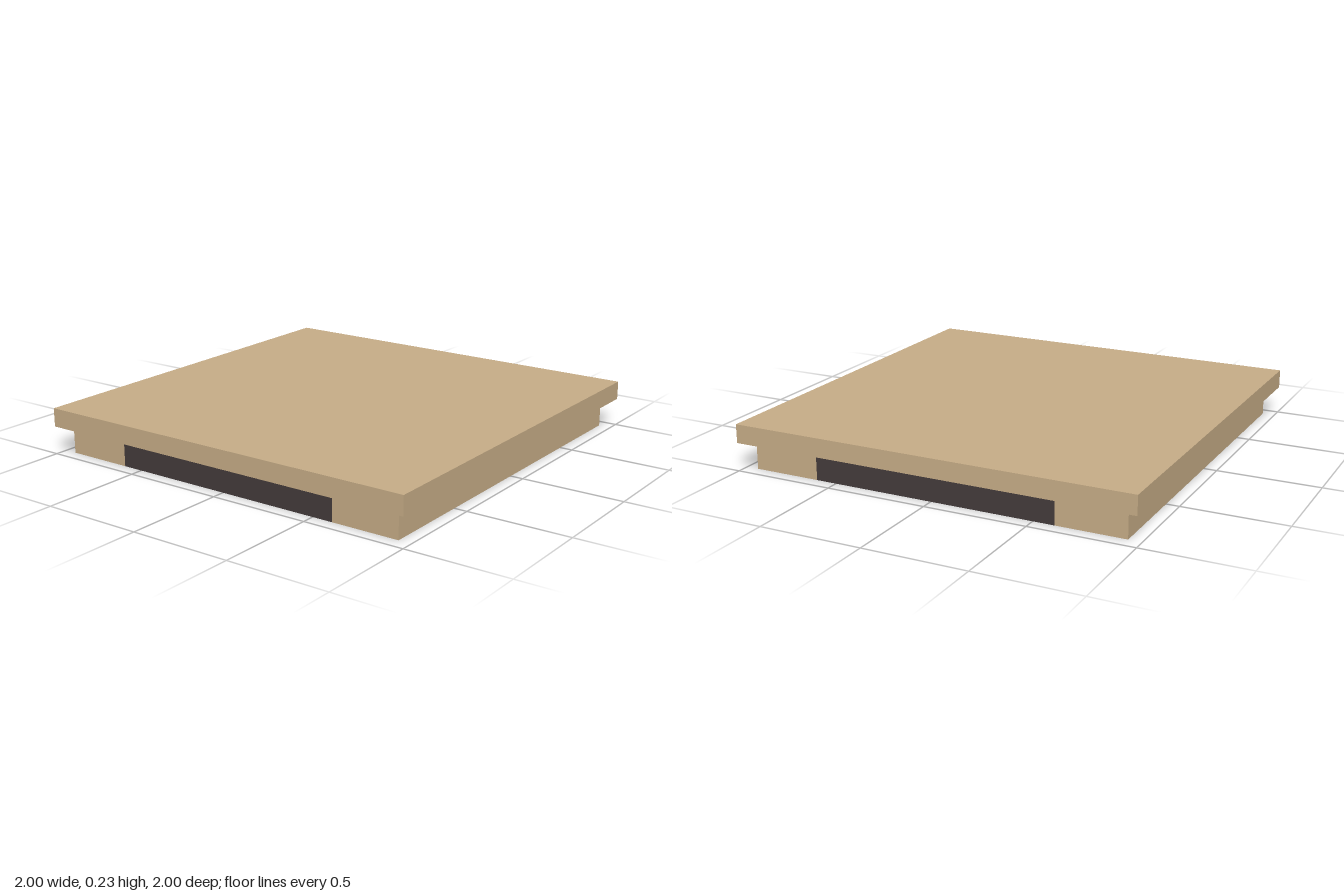
import * as THREE from 'three';

const wood = new THREE.MeshStandardMaterial({ color: 0xc8ae88 });
const dark = new THREE.MeshStandardMaterial({ color: 0x443c3c });
const grey = new THREE.MeshStandardMaterial({ color: 0xb0b0b0 });

// Half sizes of the base and of the underside opening
const BASE = 0.9375, FRAME = 0.603, OPEN_X = 0.48, OPEN_Z = 0.768;
const BASE_TOP = 0.138, TOP = 0.23, RECESS = 0.025;

export function createModel() {
  const model = new THREE.Group();
  model.name = 'lowPlatform';

  // Box given by its minimum and maximum corners
  const box = (name, material, [x0, y0, z0], [x1, y1, z1]) => {
    const mesh = new THREE.Mesh(new THREE.BoxGeometry(x1 - x0, y1 - y0, z1 - z0), material);
    mesh.position.set((x0 + x1) / 2, (y0 + y1) / 2, (z0 + z1) / 2);
    mesh.name = name;
    model.add(mesh);
  };

  // Overhanging top slab and the two wooden side blocks beneath it
  box('topSlab', wood, [-1, BASE_TOP, -1], [1, TOP, 1]);
  box('leftBlock', wood, [FRAME, 0, -BASE], [BASE, BASE_TOP, BASE]);
  box('rightBlock', wood, [-BASE, 0, -BASE], [-FRAME, BASE_TOP, BASE]);

  // Dark centre frame with a rectangular opening facing down
  const rect = (Type, x, z) => {
    const path = new Type();
    path.moveTo(-x, -z).lineTo(x, -z).lineTo(x, z).lineTo(-x, z).closePath();
    return path;
  };
  const outline = rect(THREE.Shape, FRAME, BASE);
  outline.holes.push(rect(THREE.Path, OPEN_X, OPEN_Z));
  const frameGeometry = new THREE.ExtrudeGeometry(outline, { depth: BASE_TOP, bevelEnabled: false });
  frameGeometry.rotateX(-Math.PI / 2);
  const frame = new THREE.Mesh(frameGeometry, dark);
  frame.name = 'centreFrame';
  model.add(frame);

  // Recessed panel filling the opening
  box('recessedPanel', grey, [-OPEN_X, RECESS, -OPEN_Z], [OPEN_X, BASE_TOP, OPEN_Z]);

  // Thin crossing bars, point-symmetric about the centre
  const offset = 0.105, half = 0.009, low = RECESS - 0.012;
  for (const s of [-1, 1]) {
    box('crossBar', grey,
      [-OPEN_X, low, s * offset - half], [OPEN_X, RECESS, s * offset + half]);
    const ends = [s * OPEN_Z, -s * 0.19].sort((a, b) => a - b);
    box('longBar', grey,
      [-s * offset - half, low - 0.002, ends[0]], [-s * offset + half, RECESS, ends[1]]);
  }
  return model;
}
